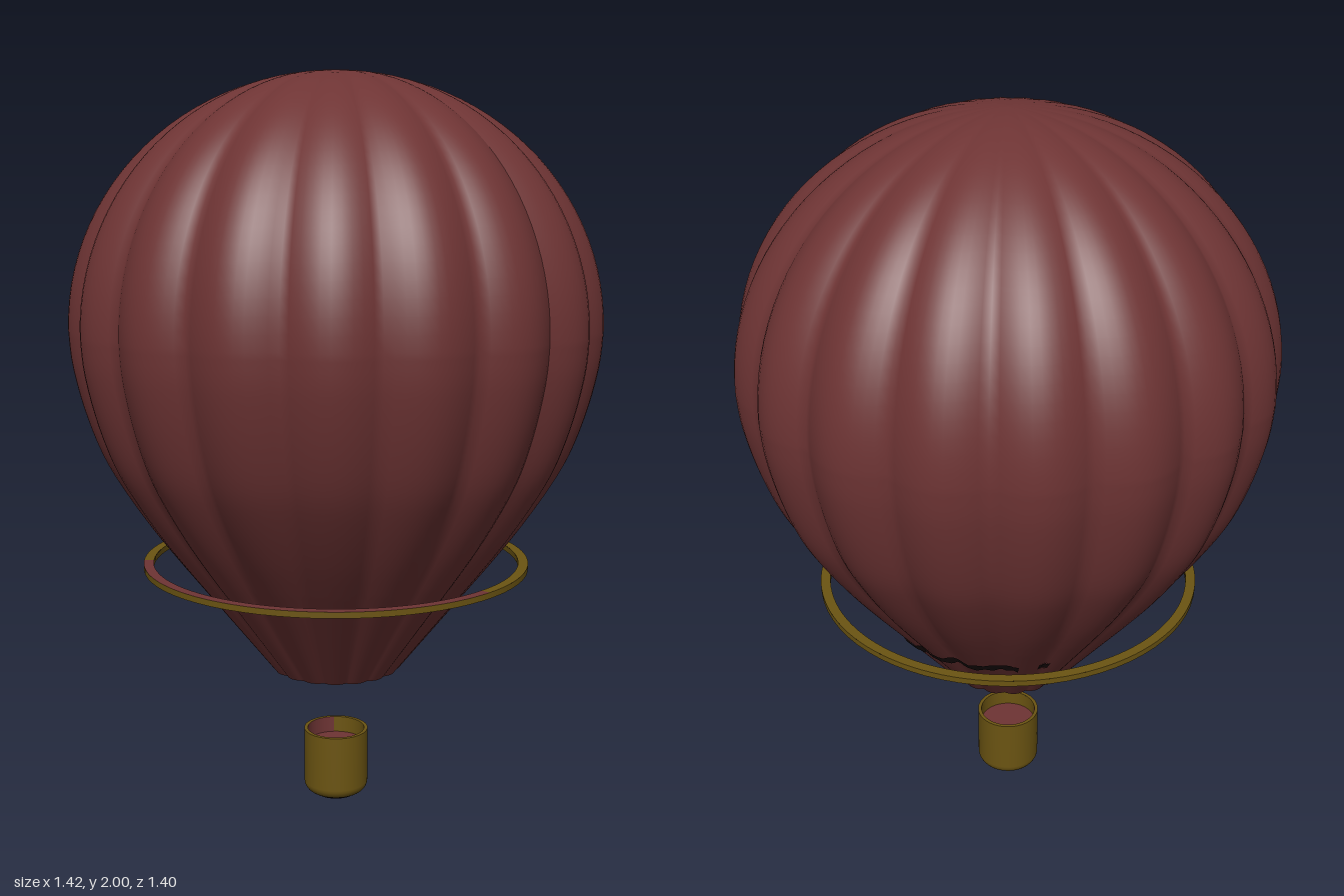
import * as THREE from 'three';

const rad = THREE.MathUtils.degToRad;
const V = (x, y) => new THREE.Vector2(x, y);

// Eighteen puffed gores: full width mid-gore, pinched at each seam
const gore = (a) => 1 - 0.05 * (1 - Math.abs(Math.cos(9 * a)));
// Radius of the straight lower cone
const coneRadius = (y) => 0.18 + 0.8 * (y - 0.38);

export function createModel() {
  const mat = (name, color, side = THREE.FrontSide) => {
    const m = new THREE.MeshStandardMaterial({ color, side });
    m.name = name;
    return m;
  };
  const red = mat('balloon red', 0x6e3434, THREE.DoubleSide);
  const olive = mat('olive', 0x6b5412);
  const black = mat('soot black', 0x1a0c0b, THREE.DoubleSide);

  const root = new THREE.Group();
  const add = (parent, name, geometry, material) => {
    const mesh = new THREE.Mesh(geometry, material);
    mesh.name = name;
    parent.add(mesh);
    return mesh;
  };
  const group = (name) => {
    const g = new THREE.Group();
    g.name = name;
    root.add(g);
    return g;
  };
  const lathe = (points, start = 0, length = 360) =>
    new THREE.LatheGeometry(points.map(([x, y]) => V(x, y)), 72, rad(start), rad(length));

  // Envelope: cone, shoulder curve, then elliptical crown
  const profile = [V(0.18, 0.38), V(0.26, 0.48), V(0.34, 0.58), V(0.42, 0.68)];
  const shoulder = new THREE.SplineCurve([
    V(0.42, 0.68), V(0.5, 0.785), V(0.577, 0.9), V(0.632, 1.0), V(0.675, 1.12), V(0.703, 1.24), V(0.711, 1.33),
  ]);
  profile.push(...shoulder.getPoints(22).slice(1));
  for (let i = 1; i <= 26; i++) {
    const t = (i / 26) * Math.PI / 2;
    profile.push(V(i === 26 ? 0 : 0.711 * Math.cos(t), 1.33 + 0.67 * Math.sin(t)));
  }
  const envelope = new THREE.LatheGeometry(profile, 180);
  const p = envelope.attributes.position;
  for (let i = 0; i < p.count; i++) {
    const k = gore(Math.atan2(p.getZ(i), p.getX(i)));
    p.setXYZ(i, p.getX(i) * k, p.getY(i), p.getZ(i) * k);
  }
  envelope.computeVertexNormals();
  add(root, 'envelope', envelope, red);

  // Flat hoop around the lower envelope
  const hoop = group('hoop');
  const ro = 0.53, ri = 0.503, y0 = 0.674, y1 = 0.69;
  add(hoop, 'hoopOuter', lathe([[ro, y0], [ro, y1]]), olive);
  add(hoop, 'hoopInner', lathe([[ri, y1], [ri, y0]]), olive);
  add(hoop, 'hoopUnderside', lathe([[ri, y0], [ro, y0]]), black);
  add(hoop, 'hoopTopRed', lathe([[ro, y1], [ri, y1]], -135, 133), red);
  add(hoop, 'hoopTopOlive', lathe([[ro, y1], [ri, y1]], -2, 227), olive);

  // Basket hanging below, with rounded bottom edge
  const basket = group('basket');
  const wall = [];
  for (let i = 0; i <= 6; i++) {
    const t = (i / 6) * Math.PI / 2;
    wall.push([0.06 + 0.03 * Math.sin(t), 0.035 - 0.03 * Math.cos(t)]);
  }
  wall.push([0.09, 0.19]);
  add(basket, 'basketWall', lathe(wall), olive);
  add(basket, 'basketRim', lathe([[0.09, 0.19], [0.08, 0.19]]), olive);
  add(basket, 'basketLining', lathe([[0.08, 0.19], [0.08, 0.145]], -135, 270), olive);
  add(basket, 'basketLiningRed', lathe([[0.08, 0.19], [0.08, 0.145]], -225, 90), red);
  add(basket, 'basketFloor', lathe([[0.08, 0.145], [0, 0.145]]), red);
  add(basket, 'basketBase', lathe([[0, 0], [0.06, 0], [0.067, 0.006]]), black);

  // Soot streaks: thin wavy ribbons lying on the cone, points are [angle, height]
  const streak = (name, pts, width) => {
    const curve = new THREE.SplineCurve(pts.map(([a, y]) => V(a, y)));
    const n = 60, pos = [], index = [];
    for (let i = 0; i <= n; i++) {
      const c = curve.getPoint(i / n);
      const a = rad(c.x);
      const mid = c.y + 0.005 * Math.sin(i * 0.9);
      const half = width * (0.5 + 0.12 * Math.sin(i * 1.7));
      for (const y of [mid - half, mid + half]) {
        const r = coneRadius(y) * gore(a) + 0.005;
        pos.push(r * Math.cos(a), y, r * Math.sin(a));
      }
      if (i < n) index.push(2 * i, 2 * i + 1, 2 * i + 2, 2 * i + 1, 2 * i + 3, 2 * i + 2);
    }
    const g = new THREE.BufferGeometry();
    g.setAttribute('position', new THREE.Float32BufferAttribute(pos, 3));
    g.setIndex(index);
    g.computeVertexNormals();
    add(soot, name, g, black);
  };
  const soot = group('sootMarks');
  streak('sideStreak', [[36, 0.53], [28, 0.56], [16, 0.57], [2, 0.59], [-18, 0.595], [-38, 0.595]], 0.032);
  streak('backStreak', [[-86, 0.6], [-98, 0.595], [-110, 0.575], [-124, 0.54]], 0.024);
  for (const [a, y] of [[-50, 0.58], [34, 0.485], [-126, 0.49]]) {
    streak('sootSpot', [[a - 2.5, y], [a + 2.5, y]], 0.03);
  }

  return root;
}
